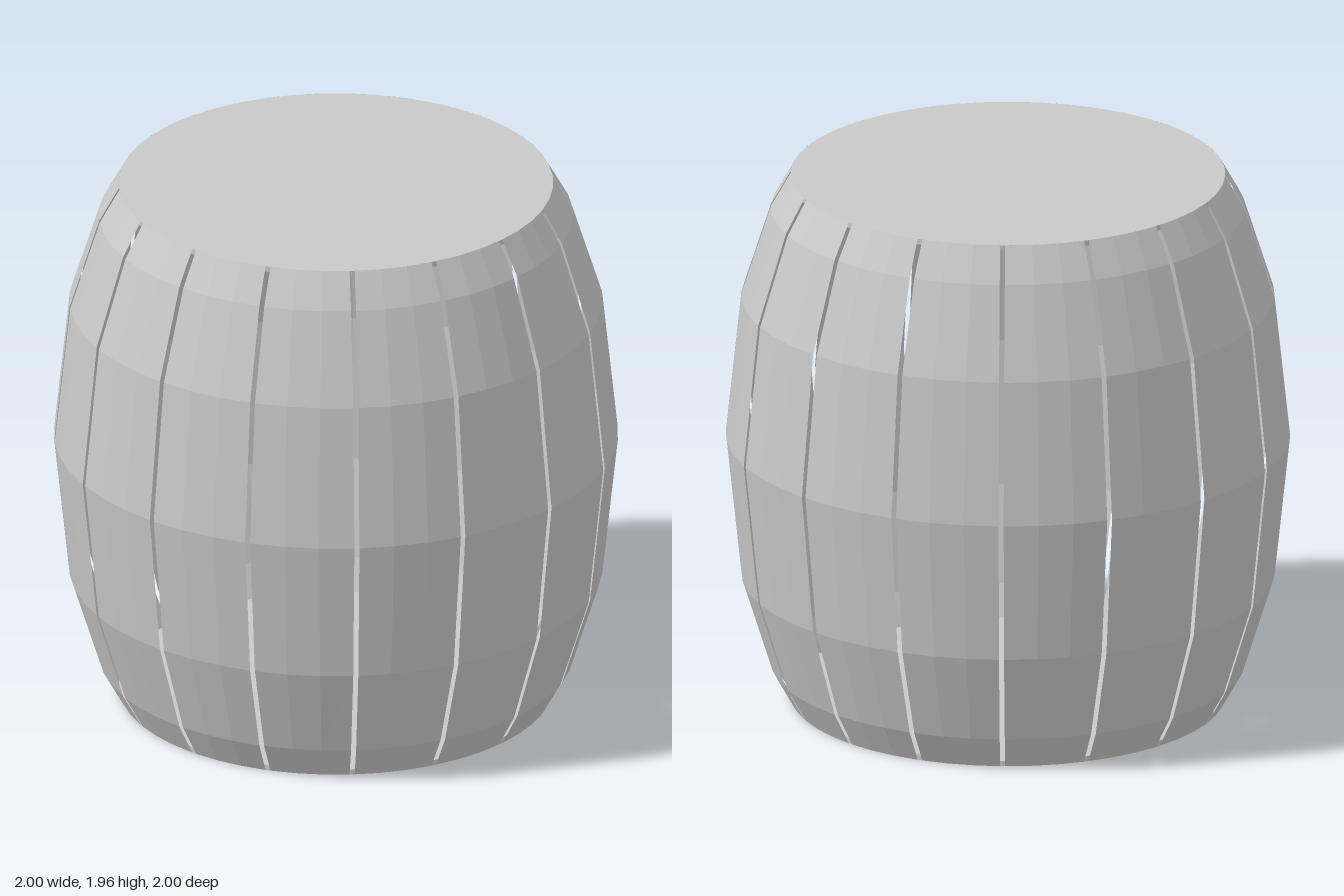
import * as THREE from 'three';

const HEIGHT = 1.955;
const GAP = 0.018;
const STAVES = 16;
const STEPS = 3; // facets across one stave
// [radius, height] from bottom to top
const PROFILE = [[0.77, 0], [0.84, 0.125], [0.945, 0.46], [1, 0.98], [0.945, 1.5], [0.84, 1.83], [0.77, HEIGHT]];

// One thin bulging stave whose edges leave a gap of constant width
function staveGeometry() {
  const positions = [];
  const index = [];
  const sector = (Math.PI * 2) / STAVES;
  for (const [r, y] of PROFILE) {
    const inset = Math.asin(GAP / 2 / r);
    for (let i = 0; i <= STEPS; i++) {
      const a = inset + (sector - 2 * inset) * (i / STEPS);
      positions.push(r * Math.sin(a), y, r * Math.cos(a));
    }
  }
  const row = STEPS + 1;
  for (let j = 0; j < PROFILE.length - 1; j++) {
    for (let i = 0; i < STEPS; i++) {
      const a = j * row + i;
      index.push(a, a + 1, a + row + 1, a, a + row + 1, a + row);
    }
  }
  const geometry = new THREE.BufferGeometry();
  geometry.setAttribute('position', new THREE.Float32BufferAttribute(positions, 3));
  geometry.setIndex(index);
  const flat = geometry.toNonIndexed();
  flat.computeVertexNormals();
  return flat;
}

export function createModel() {
  const group = new THREE.Group();
  group.name = 'barrel';
  const grey = new THREE.MeshStandardMaterial({ color: 0xc8c8c8, flatShading: true, side: THREE.DoubleSide });
  grey.name = 'light grey';

  // Ring of staves
  const stave = staveGeometry();
  for (let i = 0; i < STAVES; i++) {
    const mesh = new THREE.Mesh(stave, grey);
    mesh.name = `stave${i + 1}`;
    mesh.rotation.y = (i * Math.PI * 2) / STAVES;
    group.add(mesh);
  }

  // Thin discs closing both ends
  const thickness = 0.02;
  const disc = new THREE.CylinderGeometry(0.77, 0.77, thickness, 48);
  for (const [name, y] of [['bottomLid', thickness / 2], ['topLid', HEIGHT - thickness / 2]]) {
    const lid = new THREE.Mesh(disc, grey);
    lid.name = name;
    lid.position.y = y;
    group.add(lid);
  }
  return group;
}
